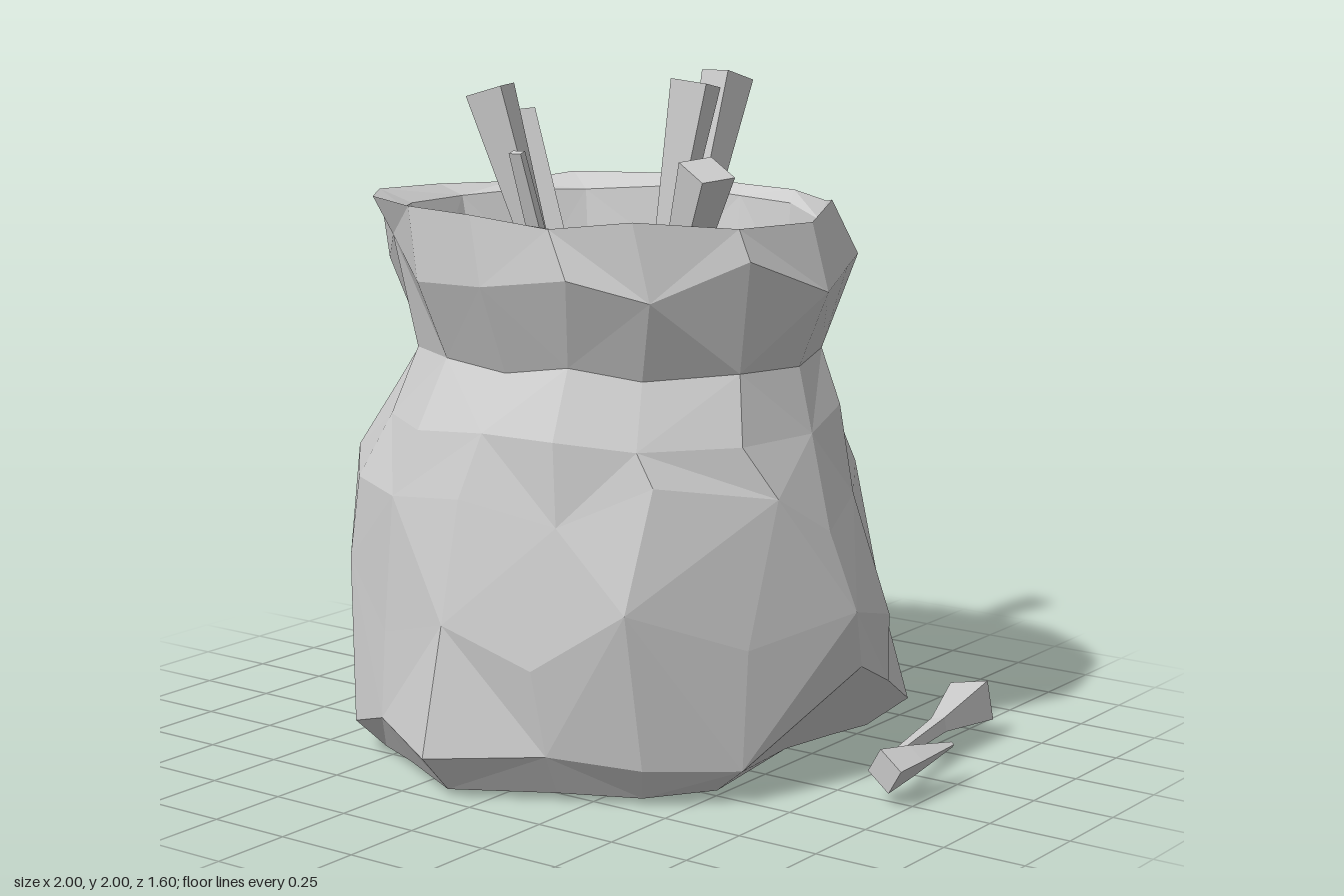
import * as THREE from 'three';

const material = new THREE.MeshStandardMaterial({ color: 0xcccccc, flatShading: true, side: THREE.DoubleSide });

// Small repeatable noise in -1..1
function noise(i, j) {
  const s = Math.sin(i * 127.1 + j * 311.7) * 43758.5453;
  return (s - Math.floor(s)) * 2 - 1;
}

const toRing = (points) => points.map((p) => new THREE.Vector3(...p));

// Bottom seam with its pulled corners (x, y, z), from the back round by the left side
const seam = toRing([
  [0.1, 0.06, -0.65], [0.38, 0.08, -0.64], [0.6, 0.1, -0.63], [0.67, 0.22, -0.4],
  [0.75, 0.34, -0.12], [0.61, 0.1, 0.28], [0.42, 0.12, 0.5], [0.18, 0.15, 0.63],
  [-0.13, 0.13, 0.8], [-0.4, 0.17, 0.66], [-0.6, 0.1, 0.55], [-0.74, 0.05, 0.32],
  [-0.77, 0.05, 0.1], [-0.7, 0.04, -0.2], [-0.5, 0.02, -0.67], [-0.25, 0.05, -0.64],
]);

// Widest line of the belly, where the folds from the corners rise
const belly = toRing([
  [0.02, 0.42, -0.8], [0.3, 0.4, -0.7], [0.55, 0.42, -0.55], [0.7, 0.44, -0.35],
  [0.775, 0.52, -0.05], [0.62, 0.45, 0.27], [0.41, 0.58, 0.57], [0.15, 0.4, 0.66],
  [-0.13, 0.5, 0.71], [-0.41, 0.42, 0.63], [-0.69, 0.57, 0.46], [-0.86, 0.62, 0.24],
  [-1, 0.48, -0.14], [-0.84, 0.4, -0.4], [-0.66, 0.36, -0.6], [-0.3, 0.42, -0.71],
]);

// Upper body below the neck
const shoulder = toRing([
  [0.05, 0.72, -0.74], [0.3, 0.85, -0.62], [0.48, 0.85, -0.5], [0.6, 0.8, -0.3],
  [0.7, 0.75, -0.02], [0.65, 0.87, 0.17], [0.42, 0.92, 0.45], [0.18, 0.8, 0.58],
  [-0.13, 0.85, 0.63], [-0.4, 0.82, 0.6], [-0.66, 0.82, 0.45], [-0.85, 0.86, 0.23],
  [-0.88, 0.8, -0.1], [-0.78, 0.78, -0.36], [-0.6, 0.75, -0.53], [-0.26, 0.82, -0.67],
]);

// Rounder cross-sections above: y, xMin, xMax, zMin, zMax, noise
const sections = [
  [1.04, -0.76, 0.62, -0.62, 0.59, 0.03],
  [1.21, -0.71, 0.56, -0.57, 0.48, 0.02],
  [1.48, -0.81, 0.66, -0.7, 0.58, 0.06],
  [1.64, -0.84, 0.6, -0.63, 0.57, 0.02],
  [1.6, -0.75, 0.57, -0.58, 0.48, 0.03],
  [1.36, -0.68, 0.55, -0.53, 0.44, 0.04],
  [0.8, -0.57, 0.5, -0.45, 0.38, 0],
];

function sectionRing([y, x0, x1, z0, z1, rough], i) {
  return belly.map((p, j) => {
    // Same bearing as the belly point, on an ellipse
    const u = (p.x + 0.11) / 0.885, v = p.z / 0.78, r = Math.hypot(u, v);
    return new THREE.Vector3(
      (x0 + x1) / 2 + (u / r) * (x1 - x0) / 2 + noise(i + 2, j) * rough * 0.5,
      y + noise(i + 22, j) * rough,
      (z0 + z1) / 2 + (v / r) * (z1 - z0) / 2 + noise(i + 42, j) * rough * 0.5,
    );
  });
}

// Sack skin: underside, seam, body, neck, rolled collar, then down the inside to the fill
function makeSack() {
  const underside = seam.map((p) => new THREE.Vector3(Math.min(p.x * 0.9, 0.5), p.y * 0.15, p.z * 0.88));
  const rings = [underside, seam, belly, shoulder, ...sections.map(sectionRing)];
  const n = seam.length;
  const corners = [];
  const centre = (y) => new THREE.Vector3(-0.08, y, 0);
  for (let j = 0; j < n; j++) {
    const k = (j + 1) % n;
    corners.push(centre(0), rings[0][j], rings[0][k]);
    for (let i = 0; i + 1 < rings.length; i++) {
      const a = rings[i], b = rings[i + 1];
      if ((i + j) % 2) corners.push(a[k], a[j], b[j], a[k], b[j], b[k]);
      else corners.push(a[k], a[j], b[k], a[j], b[j], b[k]);
    }
    const top = rings[rings.length - 1];
    corners.push(centre(0.8), top[k], top[j]);
  }
  const geometry = new THREE.BufferGeometry().setFromPoints(corners);
  geometry.computeVertexNormals();
  const mesh = new THREE.Mesh(geometry, material);
  mesh.name = 'sack';
  return mesh;
}

// Four-sided splinter of wood, pinched at a fraction of its length
function makeStick(name, from, to, [rFrom, rMid, rTo], pinch, twist = 0, depth = 1) {
  const a = new THREE.Vector3(...from), b = new THREE.Vector3(...to);
  const length = a.distanceTo(b);
  const geometry = new THREE.CylinderGeometry(rTo, rFrom, length, 4, 2);
  const p = geometry.attributes.position;
  const s = rMid / ((rFrom + rTo) / 2);
  for (let i = 0; i < p.count; i++) {
    if (Math.abs(p.getY(i)) < 1e-4) p.setXYZ(i, p.getX(i) * s, (pinch - 0.5) * length, p.getZ(i) * s);
  }
  geometry.rotateY(twist);
  geometry.scale(1, 1, depth);
  const mesh = new THREE.Mesh(geometry, material);
  mesh.name = name;
  mesh.position.copy(a).add(b).multiplyScalar(0.5);
  mesh.quaternion.setFromUnitVectors(new THREE.Vector3(0, 1, 0), b.clone().sub(a).normalize());
  return mesh;
}

export function createModel() {
  const model = new THREE.Group();
  model.name = 'sackOfSticks';
  model.add(makeSack());

  // Sticks fanning out of the mouth: foot, tip, twist
  const bundle = new THREE.Group();
  bundle.name = 'stickBundle';
  const sticks = [
    [[0.0, 0.78, -0.02], [-0.65, 1.83, -0.28], 0.3],
    [[-0.05, 0.78, 0.03], [-0.39, 1.96, 0.15], 1.1],
    [[-0.09, 0.78, -0.22], [-0.07, 1.97, -0.61], 0.6],
    [[0.01, 0.78, 0.03], [0.1, 1.98, -0.2], 1.0],
    [[0.03, 0.78, 0.06], [0.47, 1.79, 0.27], 0.5],
  ];
  for (const [from, to, twist] of sticks) bundle.add(makeStick('stick', from, to, [0.06, 0.038, 0.08], 0.55, twist));
  bundle.add(makeStick('thinStick', [-0.02, 0.78, 0.1], [-0.06, 1.82, 0.44], [0.03, 0.04, 0.03], 0.5, Math.PI / 4, 0.5));
  model.add(bundle);

  // Broken stick lying beside the sack
  const fallen = new THREE.Group();
  fallen.name = 'fallenStick';
  fallen.add(
    makeStick('longSplinter', [0.91, 0.11, 0.0], [0.79, 0.11, -0.69], [0.015, 0.03, 0.085], 0.6, Math.PI / 4),
    makeStick('shortSplinter', [0.985, 0.12, -0.24], [0.93, 0.1, 0.04], [0.008, 0.045, 0.065], 0.6),
  );
  model.add(fallen);
  return model;
}
